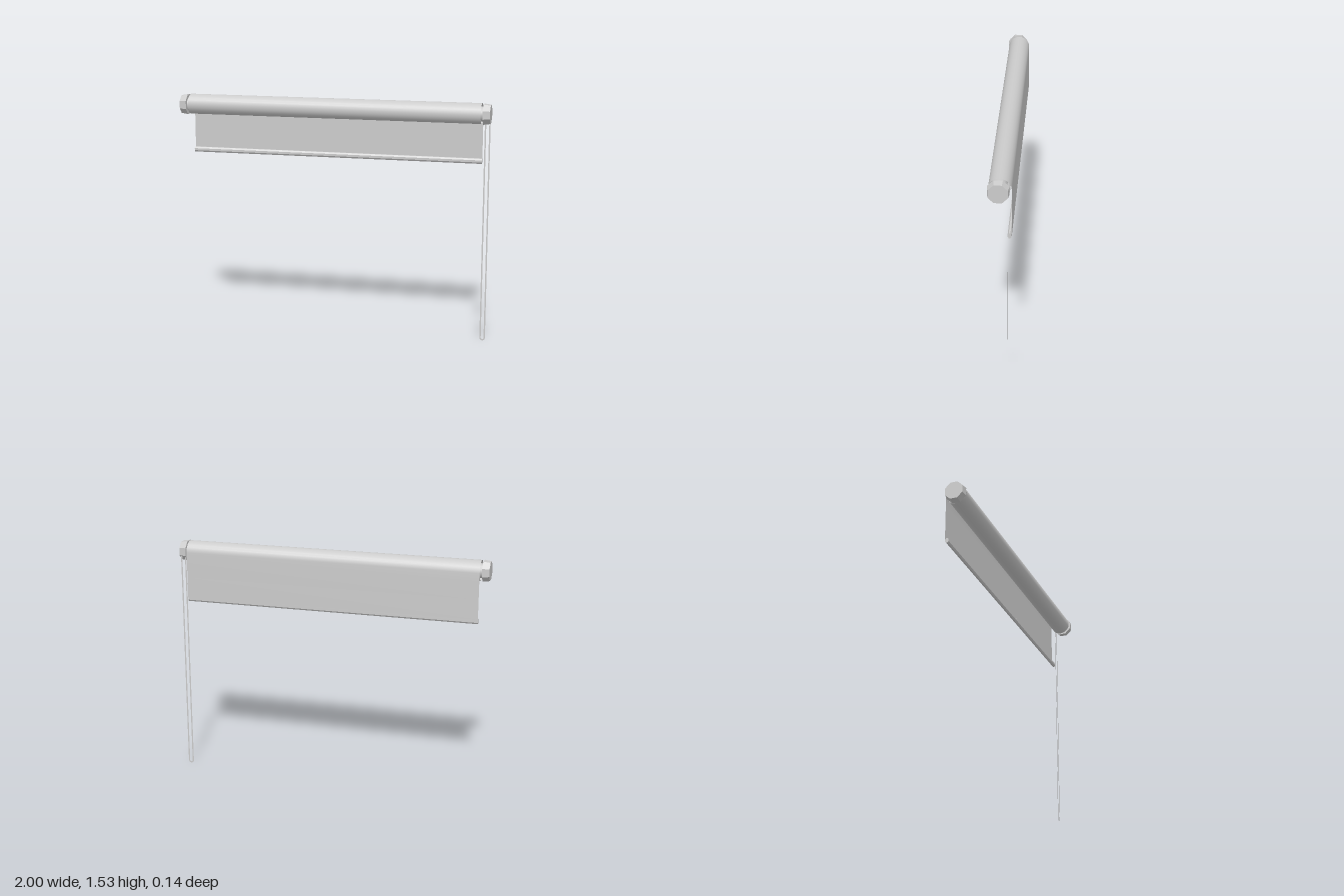
import * as THREE from 'three';

const AXIS_Y = 1.464, HALF = 0.944;

export function createModel() {
  const model = new THREE.Group();
  const solid = new THREE.MeshStandardMaterial({ color: 0xcccccc });
  const faceted = new THREE.MeshStandardMaterial({ color: 0xcccccc, flatShading: true });
  const thin = new THREE.MeshStandardMaterial({ color: 0xcccccc, side: THREE.DoubleSide });

  const add = (name, geometry, material, x = 0, y = 0, z = 0) => {
    const mesh = new THREE.Mesh(geometry, material);
    mesh.name = name;
    mesh.position.set(x, y, z);
    model.add(mesh);
    return mesh;
  };

  // Cylinder lying along x; r1 is the radius at its +x end
  const rod = (r1, r0, length, sides, turn = 0) =>
    new THREE.CylinderGeometry(r1, r0, length, sides).rotateY(turn).rotateZ(-Math.PI / 2);

  // Rolled cloth: one spiral turn that leaves the roll at the back and hangs down
  const profile = [];
  const turns = 24;
  for (let i = 0; i <= turns; i++) {
    const t = i / turns, a = -Math.PI + t * Math.PI * 2;
    const r = 0.06 + 0.0085 * t;
    // back -> bottom -> front -> top -> back
    profile.push([AXIS_Y + r * Math.sin(a), r * Math.cos(a)]);
  }
  for (const y of [1.4, 1.3, 1.175, 1.16]) profile.push([y, -0.0685]);
  const cloth = new THREE.PlaneGeometry(HALF * 2, 1, 1, profile.length - 1);
  const pos = cloth.attributes.position;
  for (let i = 0; i < pos.count; i++) {
    const [y, z] = profile[Math.floor(i / 2)];
    pos.setY(i, y);
    pos.setZ(i, z);
  }
  cloth.computeVertexNormals();
  add('rolledFabric', cloth, thin);

  // Inner roller tube, seen in the gaps beside the cloth
  add('rollerTube', rod(0.045, 0.045, 1.93, 16), solid, 0, AXIS_Y, 0.004);

  // Weighted bar along the lower hem
  const bar = rod(0.0165, 0.0165, HALF * 2, 8, Math.PI / 8);
  bar.scale(1, 1.06, 0.75);
  add('hemBar', bar, faceted, 0, 1.16, -0.056);

  // Eight-sided end brackets, tapering slightly outward
  for (const side of [-1, 1]) {
    const outer = 0.061, inner = 0.0677;
    const cap = rod(side > 0 ? outer : inner, side > 0 ? inner : outer, 0.044, 8, Math.PI / 8);
    add(side > 0 ? 'leftEndCap' : 'rightEndCap', cap, faceted, side * 0.978, AXIS_Y, 0.006);
  }

  // Flat pull cord: a long U-shaped loop
  const cordX = 0.975, top = 1.45, ro = 0.018, ri = 0.009;
  const loop = new THREE.Shape();
  loop.moveTo(-ro, top);
  loop.lineTo(-ro, ro);
  loop.absarc(0, ro, ro, Math.PI, Math.PI * 2, false);
  loop.lineTo(ro, top);
  loop.lineTo(ri, top);
  loop.lineTo(ri, ro);
  loop.absarc(0, ro, ri, Math.PI * 2, Math.PI, true);
  loop.lineTo(-ri, top);
  loop.closePath();
  add('pullCord', new THREE.ShapeGeometry(loop, 8), thin, cordX, 0, -0.045);

  return model;
}
